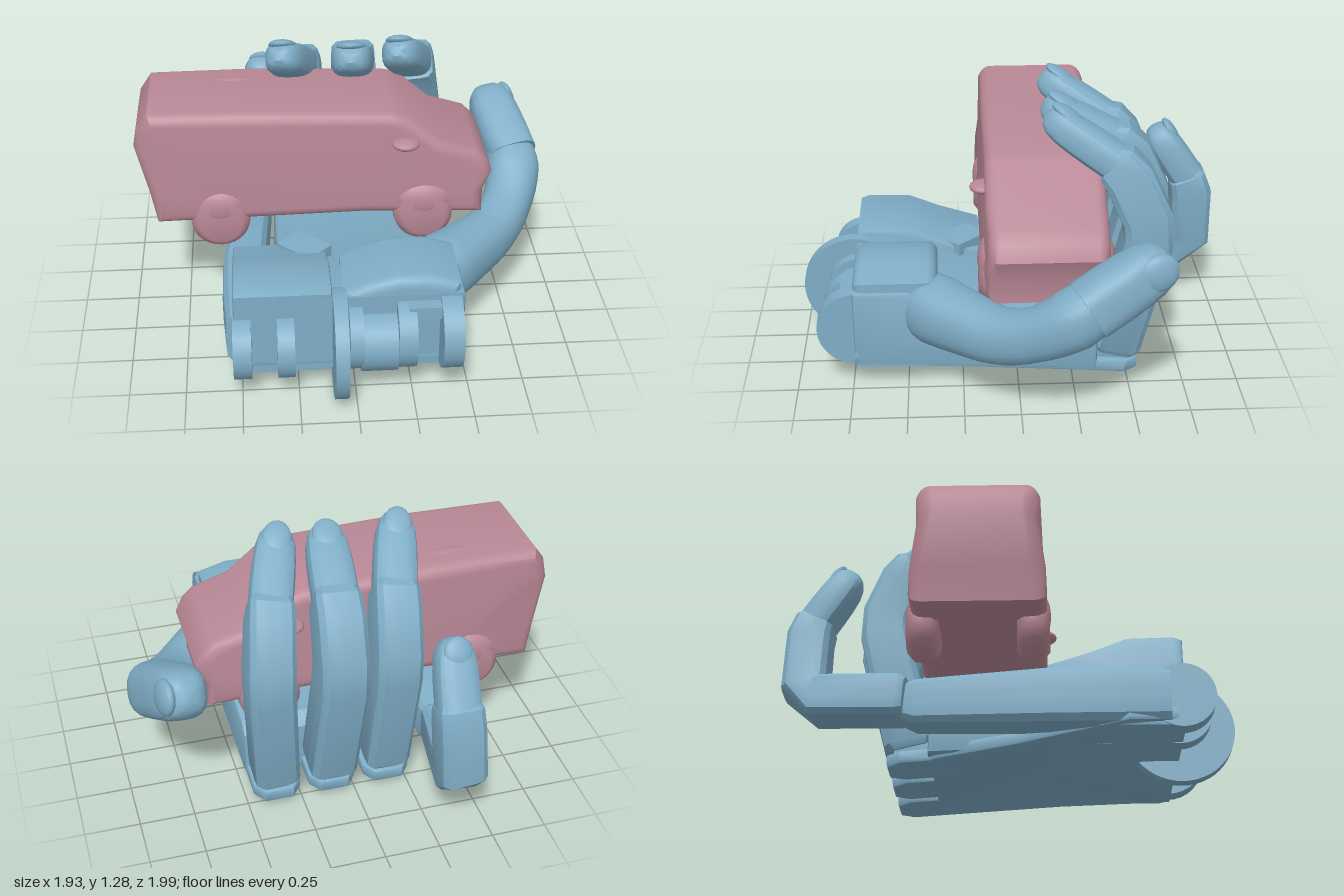
import * as THREE from 'three';
import { toCreasedNormals } from 'three/addons/utils/BufferGeometryUtils.js';

const blue = new THREE.MeshStandardMaterial({ color: 0x7fadc6 });
const pink = new THREE.MeshStandardMaterial({ color: 0xb98896 });
const V = (p) => new THREE.Vector3(...p);

function add(parent, name, geometry, material = blue) {
  const mesh = new THREE.Mesh(geometry, material);
  mesh.name = name;
  parent.add(mesh);
  return mesh;
}

// Outline swept through a depth, with a bevel kept inside the outline
function prism(points, depth, bevel = 0.02, steps = 2) {
  const shape = new THREE.Shape(points.map((p) => new THREE.Vector2(...p)));
  const g = new THREE.ExtrudeGeometry(shape, {
    depth: depth - 2 * bevel, bevelSize: bevel, bevelThickness: bevel, bevelOffset: -bevel, bevelSegments: steps,
  });
  return toCreasedNormals(g.translate(0, 0, bevel), 0.6);
}

// Side outline given as [z, y], running from x0 to x1
const sideSlab = (points, x0, x1, bevel) => prism(points, x1 - x0, bevel).rotateY(-Math.PI / 2).translate(x1, 0, 0);

// Rings [x, y, z, width, depth] joined into a skin; square > 2 gives boxier sections
function loft(rings, side, square = 4, crease = 0.5, N = 24) {
  const pos = [], idx = [], pts = rings.map(V);
  const last = rings.length - 1;
  rings.forEach(([, , , w, d], i) => {
    const a = pts[Math.max(i - 1, 0)], b = pts[Math.min(i + 1, last)];
    const T = b.clone().sub(a).normalize();
    const U = T.clone().cross(V(side)).normalize();
    const S = U.clone().cross(T);
    for (let j = 0; j < N; j++) {
      const t = ((j + 0.5) / N) * Math.PI * 2, c = Math.cos(t), s = Math.sin(t);
      const k = 0.5 / Math.pow(Math.abs(c) ** square + Math.abs(s) ** square, 1 / square);
      const p = pts[i].clone().addScaledVector(S, c * k * w).addScaledVector(U, s * k * d);
      pos.push(p.x, p.y, p.z);
      const n = (j + 1) % N;
      if (i < last) idx.push(i * N + j, i * N + n, i * N + N + j, i * N + n, i * N + N + n, i * N + N + j);
    }
  });
  pos.push(...pts[0].toArray(), ...pts[last].toArray());
  const c0 = (last + 1) * N;
  for (let j = 0; j < N; j++) {
    const n = (j + 1) % N;
    idx.push(c0, n, j, c0 + 1, last * N + j, last * N + n);
  }
  const g = new THREE.BufferGeometry();
  g.setAttribute('position', new THREE.Float32BufferAttribute(pos, 3));
  g.setIndex(idx);
  return toCreasedNormals(g, crease);
}

// Fingertip: straight sleeve, domed end and a nail on its outer side
function fingertip(parent, from, to, w, d, side) {
  const a = V(from), b = V(to);
  const stations = [[0, 1], [0.3, 1], [0.55, 0.97], [0.75, 0.9], [0.88, 0.76], [0.96, 0.54], [1, 0.25]];
  const rings = stations.map(([t, k]) => [...a.clone().lerp(b, t).toArray(), w * k, d * k]);
  add(parent, 'fingertip', loft(rings, side, 3.2));
  const T = b.clone().sub(a), L = T.length();
  T.normalize();
  const U = T.clone().cross(V(side)).normalize(), S = U.clone().cross(T);
  const nail = add(parent, 'nail', new THREE.SphereGeometry(0.5, 20, 12));
  nail.scale.set(w * 0.66, d * 0.3, L * 0.44);
  nail.quaternion.setFromRotationMatrix(new THREE.Matrix4().makeBasis(S, U, T));
  nail.position.copy(a).addScaledVector(T, L * 0.79).addScaledVector(U, d * 0.36);
}

// Two straight phalanges with a chamfered knuckle between them, then the fingertip
function finger(parent, name, [base, mid, top, tip], w, d) {
  const group = new THREE.Group();
  group.name = name;
  const [A, B, C, D] = [base, mid, top, tip].map(V);
  const at = (p, q, dist) => p.clone().addScaledVector(q.clone().sub(p).normalize(), dist).toArray();
  const side = [1, 0, 0];
  add(group, 'phalanges', loft([
    [...base, w * 0.86, d * 0.84], [...at(A, B, 0.03), w, d], [...at(B, A, 0.06), w, d], [...at(B, C, 0.05), w, d],
    [...at(C, B, 0.04), w * 0.98, d * 0.98], [...at(C, D, 0.04), w * 0.95, d * 0.88], [...at(C, D, 0.06), w * 0.82, d * 0.7],
  ], side, 5.5));
  fingertip(group, at(C, D, 0.03), tip, w * 0.92, 0.165, side);
  parent.add(group);
}

function makeVan() {
  const van = new THREE.Group();
  van.name = 'toyVan';
  // Body, narrowing to the roof, the tail and the nose
  const body = prism([[-0.87, 0.51], [-0.9, 0.66], [-0.96, 0.88], [-0.94, 0.98], [-0.89, 1.05], [-0.4, 1.05], [0.2, 1.03],
    [0.28, 1.01], [0.43, 0.88], [0.6, 0.83], [0.65, 0.78], [0.68, 0.71], [0.64, 0.62], [0.64, 0.5], [0.1, 0.53], [-0.4, 0.52]],
  0.56, 0.05, 4).translate(0, 0, -0.28);
  const p = body.attributes.position;
  for (let i = 0; i < p.count; i++) {
    const x = p.getX(i), y = p.getY(i);
    const k = 1.03 - 0.2 * Math.max(0, y - 0.6) - 0.2 * Math.max(0, x - 0.3) - 1.6 * Math.max(0, -0.86 - x);
    p.setZ(i, p.getZ(i) * k - 0.125);
  }
  body.computeVertexNormals();
  add(van, 'vanBody', toCreasedNormals(body, 0.7), pink);
  // Wheels and mirrors on both sides
  const tyre = new THREE.LatheGeometry([[0, -0.07], [0.1, -0.07], [0.135, -0.04], [0.14, 0], [0.135, 0.04], [0.1, 0.07], [0, 0.07]]
    .map((q) => new THREE.Vector2(...q)), 28).rotateX(Math.PI / 2);
  for (const s of [-1, 1]) {
    for (const x of [-0.58, 0.36]) {
      add(van, 'wheel', tyre, pink).position.set(x, 0.52, -0.13 + s * 0.235);
      // Soft swelling of the body over the wheel
      const arch = add(van, 'wheelArch', new THREE.SphereGeometry(1, 20, 12), pink);
      arch.scale.set(0.14, 0.1, 0.06);
      arch.position.set(x, 0.58, -0.13 + s * 0.25);
    }
    const mirror = add(van, 'mirror', new THREE.SphereGeometry(1, 16, 10), pink);
    mirror.scale.set(0.065, 0.026, 0.06);
    mirror.position.set(0.27, 0.89, -0.13 + s * 0.28);
  }
  // Low ridge on the roof
  const ridge = add(van, 'roofRidge', new THREE.SphereGeometry(1, 16, 8), pink);
  ridge.scale.set(0.09, 0.01, 0.03);
  ridge.position.set(-0.5, 1.045, -0.25);
  return van;
}

function makePalm() {
  const palm = new THREE.Group();
  palm.name = 'palm';
  const knuckles = [-0.16, 0.1, 0.36];
  // Thin back plate with a rounded tongue under each finger
  const outline = [[0.48, 0.74], [-0.53, 0.74], [-0.57, 0.5], [-0.38, 0.0], [-0.29, -0.33]];
  for (const x of knuckles) {
    outline.push([x - 0.11, -0.36], [x - 0.11, -0.49], [x - 0.065, -0.55], [x + 0.065, -0.55], [x + 0.11, -0.49], [x + 0.11, -0.36]);
  }
  const plate = add(palm, 'backPlate', prism(outline, 0.06, 0.012).rotateX(Math.PI / 2));
  plate.position.set(0, 0.127, 0);
  plate.rotation.x = -0.07;
  // Main block, sloping towards the fingers
  add(palm, 'palmBlock', sideSlab([[0.74, 0.1], [0.74, 0.47], [0.5, 0.47], [0.25, 0.37], [-0.3, 0.33], [-0.36, 0.28],
    [-0.36, 0.06]], -0.33, 0.48, 0.02));
  // Raised wrist bar on the right
  add(palm, 'wristBar', sideSlab([[0.74, 0.09], [0.74, 0.49], [0.7, 0.505], [0.5, 0.5], [0.35, 0.44], [0.16, 0.38], [0.16, 0.1]],
    -0.53, -0.1, 0.015));
  // Arched collar where the thumb is rooted, dipping at front and back
  const collar = prism([[-0.05, 0.1], [-0.05, 0.47], [0.06, 0.52], [0.18, 0.55], [0.32, 0.55], [0.46, 0.51], [0.48, 0.1]], 0.38, 0.05, 4)
    .translate(0, 0, 0.36);
  add(palm, 'thumbCollar', collar);
  // Outer bar carrying the little finger
  add(palm, 'outerBar', loft([[-0.48, 0.23, 0.68, 0.17, 0.24], [-0.48, 0.23, 0.45, 0.2, 0.26], [-0.48, 0.23, 0.2, 0.2, 0.26],
    [-0.43, 0.23, -0.4, 0.18, 0.21], [-0.43, 0.24, -0.48, 0.13, 0.15]], [1, 0, 0], 5));
  // Socket on the palm
  const socket = add(palm, 'socket', new THREE.BoxGeometry(0.15, 0.06, 0.2));
  socket.position.set(-0.2, 0.4, 0.24);
  socket.rotation.y = 0.8;
  // Rounded wrist lugs: centre x, thickness, height, radius
  for (const [x, w, y, r] of [[-0.495, 0.08, 0.23, 0.145], [-0.305, 0.075, 0.23, 0.145], [0.0, 0.06, 0.27, 0.15],
    [0.1, 0.16, 0.24, 0.14], [0.22, 0.08, 0.28, 0.16], [0.415, 0.09, 0.285, 0.175]]) {
    const lug = add(palm, 'wristLug', new THREE.CylinderGeometry(r, r, w, 32).rotateZ(Math.PI / 2));
    lug.position.set(x, y, 0.73);
  }
  // Bridge over the gap between the two left lugs
  add(palm, 'lugBridge', new THREE.BoxGeometry(0.16, 0.06, 0.08)).position.set(0.31, 0.41, 0.76);
  // Large tensioner disc
  const disc = add(palm, 'wristDisc', new THREE.CylinderGeometry(0.245, 0.245, 0.06, 48).rotateZ(Math.PI / 2));
  disc.position.set(-0.07, 0.246, 0.755);
  // Finger hinges: fork cheeks and a pin
  for (const x of knuckles) {
    for (const s of [-1, 1]) {
      add(palm, 'hingeCheek', sideSlab([[-0.3, 0.06], [-0.3, 0.31], [-0.42, 0.28], [-0.5, 0.2], [-0.52, 0.06]],
        x + s * 0.06 - 0.02, x + s * 0.06 + 0.02, 0.008));
    }
    const hinge = add(palm, 'fingerPin', new THREE.CylinderGeometry(0.04, 0.04, 0.17, 16).rotateZ(Math.PI / 2));
    hinge.position.set(x, 0.16, -0.45);
  }
  return palm;
}

function makeThumb() {
  const thumb = new THREE.Group();
  thumb.name = 'thumb';
  const spine = [[0.31, 0.365, 0.45], [0.43, 0.36, 0.36], [0.56, 0.36, 0.23], [0.69, 0.37, 0.09], [0.79, 0.43, -0.06],
    [0.84, 0.53, -0.22], [0.82, 0.62, -0.34]];
  const girth = [0.26, 0.3, 0.27, 0.24, 0.23, 0.26, 0.22];
  const curve = new THREE.CatmullRomCurve3(spine.map(V));
  const rings = [];
  for (let i = 0; i <= 24; i++) {
    const t = i / 24, f = t * 6, k = Math.min(Math.floor(f), 5);
    const w = THREE.MathUtils.lerp(girth[k], girth[k + 1], f - k);
    rings.push([...curve.getPoint(t).toArray(), w, w]);
  }
  add(thumb, 'thumbBase', loft(rings, [0, 1, 0], 2.5, 0.8));
  fingertip(thumb, [0.845, 0.57, -0.27], [0.75, 0.77, -0.62], 0.25, 0.24, [0, 0.8, 0.6]);
  return thumb;
}

export function createModel() {
  const model = new THREE.Group();
  model.name = 'handHoldingVan';
  model.add(makePalm(), makeThumb(), makeVan());
  finger(model, 'ringFinger', [[-0.16, 0.12, -0.445], [-0.16, 0.74, -0.59], [-0.18, 1.0, -0.48], [-0.29, 1.21, -0.14]], 0.21, 0.225);
  finger(model, 'middleFinger', [[0.1, 0.12, -0.445], [0.09, 0.75, -0.61], [0.08, 1.01, -0.49], [0.04, 1.19, -0.13]], 0.22, 0.235);
  finger(model, 'indexFinger', [[0.36, 0.12, -0.445], [0.41, 0.75, -0.59], [0.37, 1.01, -0.47], [0.25, 1.22, -0.13]], 0.21, 0.225);
  finger(model, 'littleFinger', [[-0.45, 0.25, -0.44], [-0.37, 0.285, -0.895], [-0.345, 0.63, -0.89], [-0.37, 0.91, -0.7]], 0.21, 0.2);
  return model;
}
